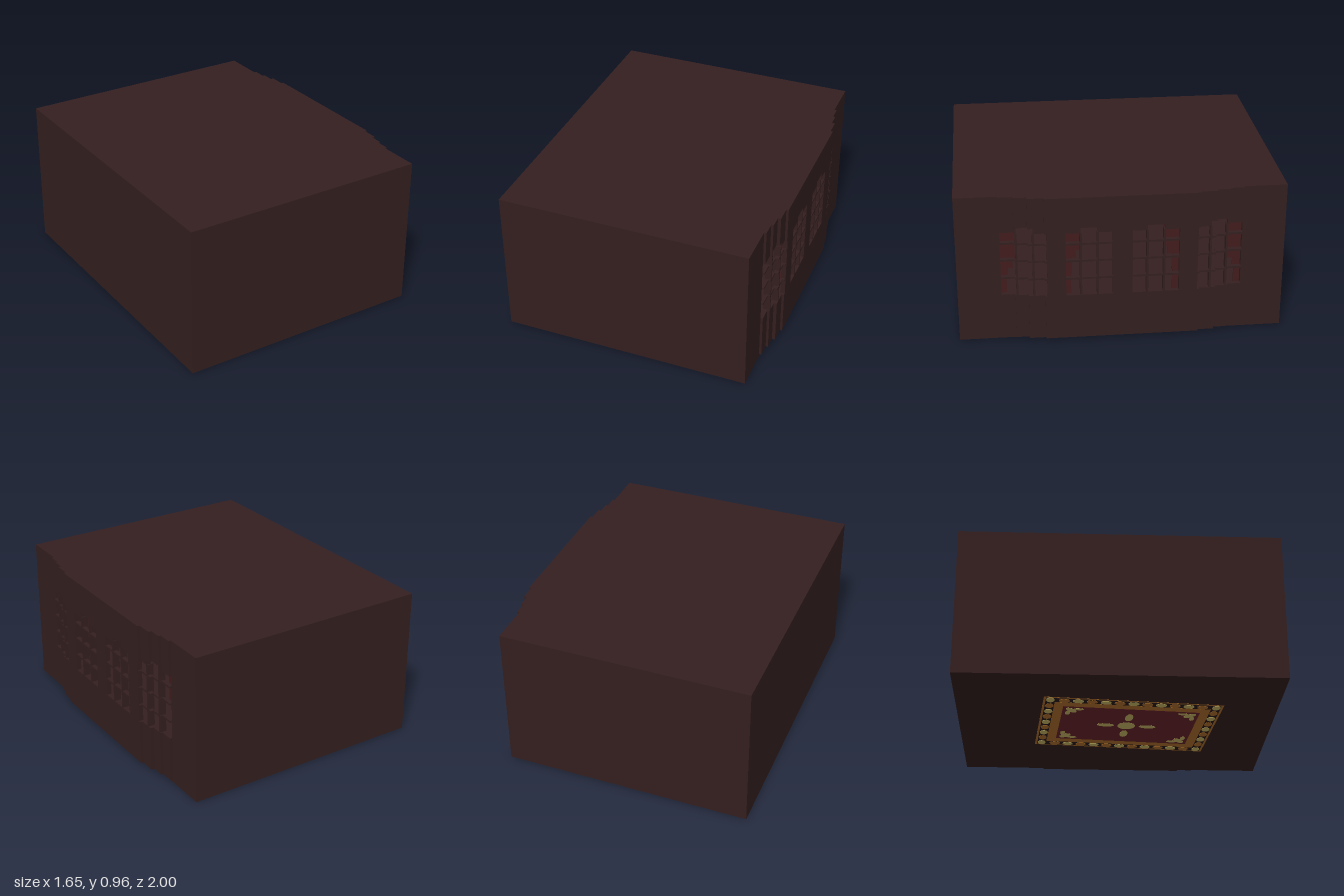
import * as THREE from 'three';

const mat = (name, color) => Object.assign(new THREE.MeshStandardMaterial({ color }), { name });

export function createModel() {
  const room = new THREE.Group();
  room.name = 'room';
  const wood = mat('dark wood', 0x341f1f);
  const red = mat('curtain red', 0x421c1c);
  const maroon = mat('rug maroon', 0x6a2228);
  const brown = mat('rug brown', 0xb0702a);
  const gold = mat('gold', 0xcdba68);
  const dark = mat('rug dark', 0x2a1a1a);

  const group = (name, parent = room) => {
    const g = new THREE.Group();
    g.name = name;
    parent.add(g);
    return g;
  };
  // box given by its limits on each axis
  const box = (name, m, [x0, x1], [y0, y1], [z0, z1], parent = room) => {
    const mesh = new THREE.Mesh(new THREE.BoxGeometry(x1 - x0, y1 - y0, z1 - z0), m);
    mesh.position.set((x0 + x1) / 2, (y0 + y1) / 2, (z0 + z1) / 2);
    mesh.name = name;
    parent.add(mesh);
  };

  // shell
  const T = 0.03, H = 0.96, W = 0.76, L = -0.828;
  box('floor', wood, [L, W], [0.004, 0.02], [-1, 1]);
  box('backWall', wood, [L, L + T], [0.02, H - 0.02], [-1, 1]);
  for (const s of [-1, 1]) {
    const z = s > 0 ? [1 - T, 1] : [-1, -1 + T];
    box('sideWall', wood, [L + T, W], [0.02, H - 0.02], z);
  }

  // stepped bow front: outer x for each distance from the middle
  const steps = [[0.47, 0.825], [0.57, 0.81], [0.65, 0.79], [0.735, 0.775], [1, W]];
  const outerX = (z) => steps.find(([limit]) => Math.abs(z) < limit)[1];
  const plan = new THREE.Shape();
  plan.moveTo(L, -1);
  let edge = -1;
  for (const [i, [, x]] of [...steps.entries()].reverse()) {
    plan.lineTo(x, edge);
    edge = i ? -steps[i - 1][0] : steps[0][0];
    plan.lineTo(x, edge);
  }
  steps.slice(1).forEach(([limit, x], i) => {
    plan.lineTo(x, steps[i][0]);
    plan.lineTo(x, limit);
  });
  plan.lineTo(L, 1);
  const slab = (name, top, depth) => {
    const geo = new THREE.ExtrudeGeometry(plan, { depth, bevelEnabled: false });
    const mesh = new THREE.Mesh(geo.rotateX(Math.PI / 2), wood);
    mesh.position.y = top;
    mesh.name = name;
    room.add(mesh);
  };
  slab('roof', H, 0.02);
  slab('bowSill', 0.03, 0.01);

  // window columns as [inner z, outer z, top]
  const sill = 0.313, low = 0.73, high = 0.763;
  const columns = [
    [0.06, 0.15, low], [0.15, 0.255, high], [0.255, 0.344, low],
    [0.457, 0.537, low], [0.537, 0.638, high], [0.638, 0.735, low],
  ];
  const cuts = [0, ...steps.map((s) => s[0]), ...columns.flatMap((c) => c.slice(0, 2))];
  const marks = [...new Set(cuts)].sort((a, b) => a - b);
  const bow = group('windowWall');
  // curtain outlines as [bottom, top, width], for the inner and outer windows
  const curtains = [
    [0.35, [[0.59, 0.78, 0.095], [0.54, 0.59, 0.07], [0.43, 0.54, 0.045], [0.29, 0.43, 0.04]]],
    [0.745, [[0.52, 0.78, 0.1], [0.465, 0.52, 0.085], [0.41, 0.465, 0.055], [0.29, 0.41, 0.045]]],
  ];
  for (const s of [-1, 1]) {
    const span = (a, b) => (s > 0 ? [a, b] : [-b, -a]);
    for (let i = 0; i < marks.length - 1; i++) {
      const a = marks[i], b = marks[i + 1], mid = (a + b) / 2;
      const x = outerX(mid), depth = [x - T, x], z = span(a, b);
      const col = columns.find((c) => mid > c[0] && mid < c[1]);
      if (!col) {
        box('wallPanel', wood, depth, [0.02, H - 0.02], z, bow);
        continue;
      }
      box('wallBelowWindow', wood, depth, [0.02, sill], z, bow);
      box('wallAboveWindow', wood, depth, [col[2], H - 0.02], z, bow);
      // horizontal glazing bars
      for (const y of [0.425, 0.543, 0.656]) {
        box('glazingBar', wood, [x - 0.03, x - 0.002], [y - 0.006, y + 0.006], z, bow);
      }
    }
    // deep vertical glazing bars
    for (const z of [0.15, 0.253, 0.537, 0.638]) {
      const x = outerX(z);
      box('uprightBar', wood, [x - 0.045, x - 0.001], [sill, low], span(z - 0.006, z + 0.006), bow);
    }
    // curtains gathered at the outer side of each window
    for (const [z, outline] of curtains) {
      const x = outerX(z - 0.05) - 0.055;
      for (const [y0, y1, w] of outline) {
        box('curtain', red, [x - 0.012, x], [y0, y1], span(z - w, z));
      }
    }
  }

  // small stands with candles and an ornament against the back wall
  box('candleStand', wood, [L + T, -0.66], [0.02, 0.345], [-0.24, -0.15]);
  box('ornamentStand', wood, [L + T, -0.66], [0.02, 0.33], [0.18, 0.27]);
  for (const z of [-0.178, -0.212]) {
    box('candle', gold, [-0.72, -0.702], [0.345, 0.41], [z - 0.01, z + 0.01]);
  }
  const ornament = new THREE.Mesh(new THREE.SphereGeometry(0.021, 12, 8), gold);
  ornament.position.set(-0.71, 0.35, 0.225);
  ornament.name = 'goldOrnament';
  room.add(ornament);

  // rug, turned slightly, patterned alike above and below the floor
  const rug = group('rug');
  rug.position.set(-0.05, 0.012, 0.07);
  rug.rotation.y = 0.085;
  const HX = 0.4, HZ = 0.56;
  const layer = (name, m, inset, h) =>
    box(name, m, [-HX + inset, HX - inset], [-h, h], [-HZ + inset, HZ - inset], rug);
  layer('rugEdge', brown, 0, 0.0087);
  layer('rugDarkBand', dark, 0.014, 0.0094);
  layer('rugBrownBand', brown, 0.072, 0.0101);
  layer('rugField', maroon, 0.13, 0.0108);
  const oval = (name, m, x, z, rx, rz, turn = 0) => {
    const mesh = new THREE.Mesh(new THREE.CylinderGeometry(1, 1, 2, 16), m);
    mesh.scale.set(rx, 0.0118, rz);
    mesh.position.set(x, 0, z);
    mesh.rotation.y = turn;
    mesh.name = name;
    rug.add(mesh);
  };
  // gold and brown blobs alternating round the border
  const bx = HX - 0.043, bz = HZ - 0.043;
  const blob = (i, x, z, rx, rz) => oval('borderBlob', i % 2 ? brown : gold, x, z, rx, rz);
  for (const s of [-1, 1]) {
    for (let i = 0; i <= 8; i++) blob(i, -bx + (i * bx) / 4, s * bz, 0.034, 0.026);
    for (let i = 1; i < 12; i++) blob(i, s * bx, -bz + (i * bz) / 6, 0.026, 0.034);
  }
  // centre flower and corner sprigs
  oval('medallion', gold, 0, 0, 0.057, 0.057);
  for (const s of [-1, 1]) {
    oval('petal', gold, s * 0.135, 0, 0.055, 0.026);
    oval('petal', gold, 0, s * 0.135, 0.026, 0.055);
    for (const sz of [-1, 1]) {
      oval('cornerSprig', gold, s * 0.215, sz * 0.375, 0.024, 0.045, (s * sz * Math.PI) / 4);
      oval('cornerLeaf', gold, s * 0.235, sz * 0.33, 0.016, 0.032);
      oval('cornerLeaf', gold, s * 0.17, sz * 0.395, 0.032, 0.016);
    }
  }
  return room;
}
